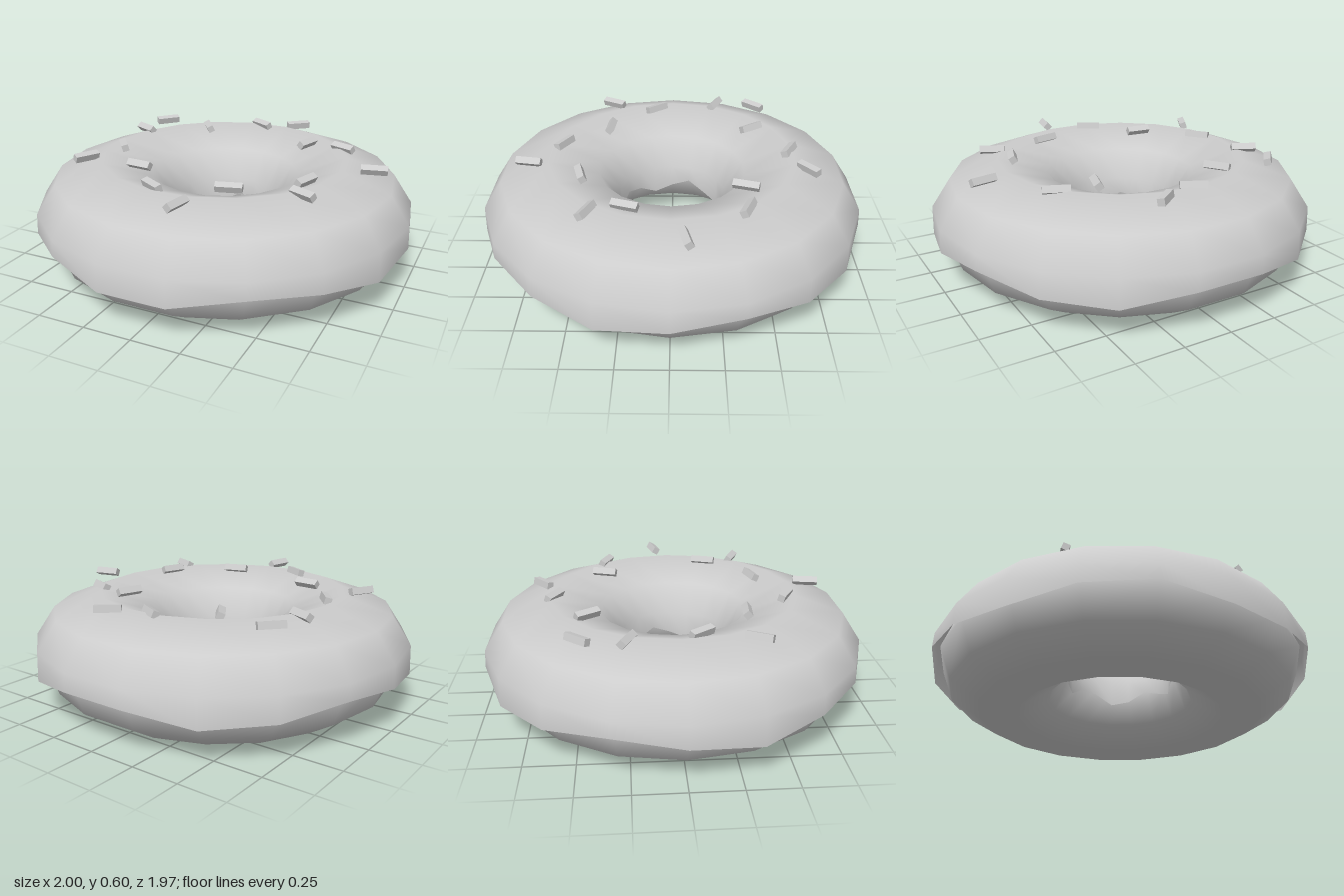
import * as THREE from 'three';

const RING = 0.64;   // radius of the ring's centre line
const SIDES = 18;

export function createModel() {
  const model = new THREE.Group();
  model.name = 'donut';

  const doughMat = new THREE.MeshStandardMaterial({ color: 0xcccccc });
  doughMat.name = 'dough grey';
  const icingMat = doughMat.clone();
  icingMat.name = 'icing grey';
  icingMat.side = THREE.DoubleSide;

  // Dough: a slightly flattened ring
  const doughGeo = new THREE.TorusGeometry(RING, 0.32, 10, SIDES);
  doughGeo.rotateX(Math.PI / 2);
  doughGeo.scale(1, 0.86, 1);
  doughGeo.translate(0, 0.262, 0);
  const dough = new THREE.Mesh(doughGeo, doughMat);
  dough.name = 'dough';
  model.add(dough);

  // Icing: open shell over the top, mirrored from outer to inner side
  const EDGE = 0.215;
  const half = [[0.36, EDGE], [0.355, 0.33], [0.255, 0.48]];
  const profile = [
    ...half.map(([d, y]) => new THREE.Vector2(RING + d, y)),
    new THREE.Vector2(RING, 0.57),
    ...half.slice().reverse().map(([d, y]) => new THREE.Vector2(RING - d, y)),
  ];
  const icingGeo = new THREE.LatheGeometry(profile, SIDES, Math.PI / 2);
  // Wavy lower edges
  const pos = icingGeo.attributes.position;
  for (let i = 0; i < pos.count; i++) {
    if (Math.abs(pos.getY(i) - EDGE) < 1e-4) {
      const a = Math.atan2(pos.getZ(i), pos.getX(i));
      pos.setY(i, EDGE - 0.036 * Math.sin(5 * a));
    }
  }
  const icing = new THREE.Mesh(icingGeo, icingMat);
  icing.name = 'icing';
  model.add(icing);

  // Sprinkles: x, z, heading in degrees (from +x towards +z), roll in degrees
  const sprinkles = [
    [-0.04, -0.62, 28, 25], [0.165, -0.695, -39, 10], [-0.61, -0.475, -48, 15],
    [-0.31, -0.44, 55, 25], [0.335, -0.365, -73, 35], [0.54, -0.36, 22, 30],
    [-0.63, -0.25, 25, 40], [0.785, -0.07, -13, 30], [-0.57, 0.095, 52, 15],
    [0.525, 0.215, -72, 30], [-0.64, 0.35, -62, 20], [-0.32, 0.345, 5, 50],
    [0.57, 0.39, 24, 30], [0.23, 0.455, -15, 25], [-0.11, 0.58, 30, 15],
    [0.105, 0.735, -80, 45],
  ];
  const sprinkleGeo = new THREE.BoxGeometry(0.132, 0.036, 0.036);
  const rad = THREE.MathUtils.degToRad;
  sprinkles.forEach(([x, z, heading, roll], i) => {
    const s = new THREE.Mesh(sprinkleGeo, doughMat);
    s.name = 'sprinkle' + (i + 1);
    s.position.set(x, 0.573, z);
    s.rotation.order = 'YXZ';
    s.rotation.set(rad(roll), rad(-heading), 0);
    model.add(s);
  });

  return model;
}
